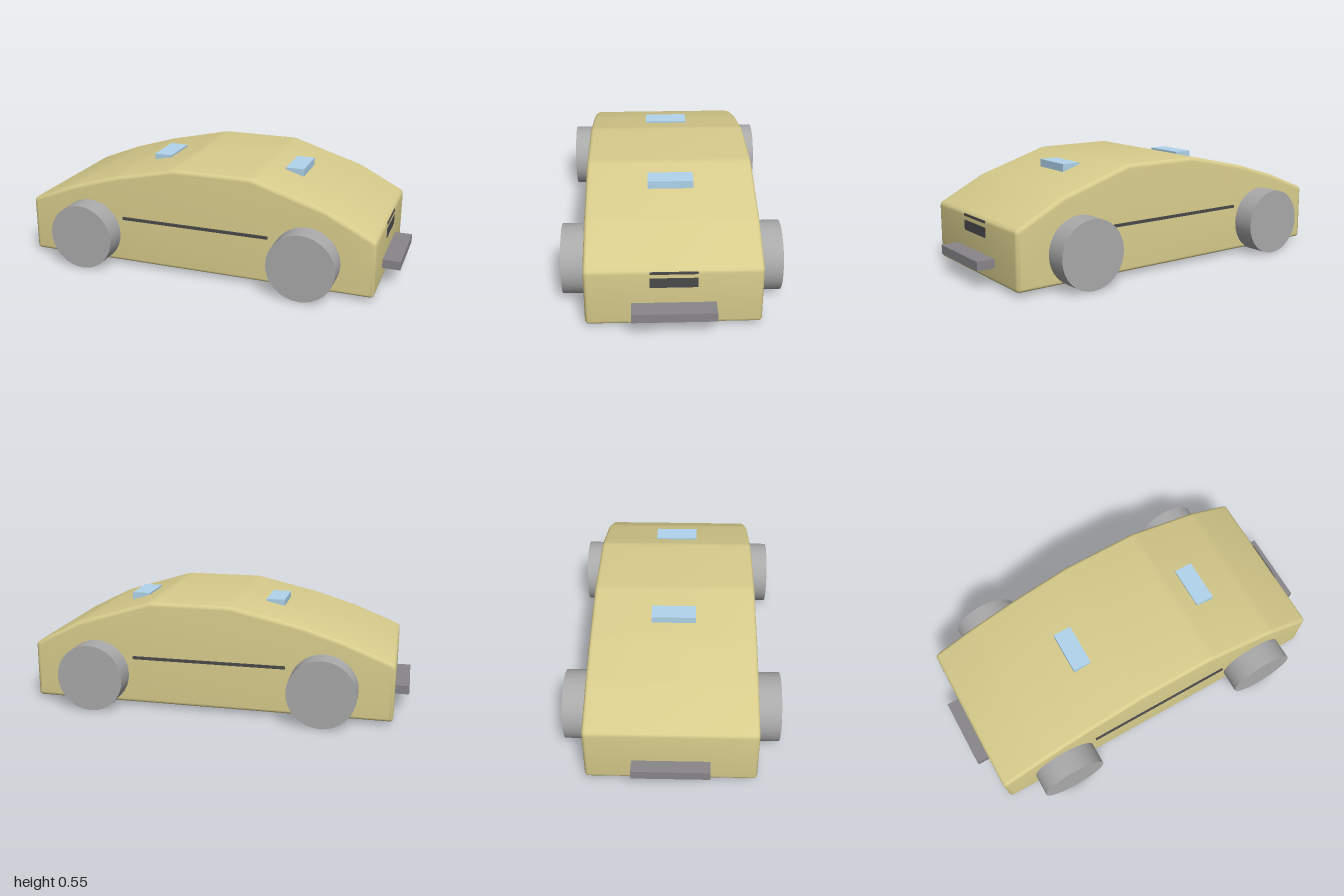
import * as THREE from 'three';
import { toCreasedNormals } from 'three/addons/utils/BufferGeometryUtils.js';

const paint = (color) => new THREE.MeshStandardMaterial({ color });
const cream = paint(0xd8cc8c);
const rubber = paint(0xaaaaaa);
const glass = paint(0xb0d4ec);
const steel = paint(0x88868a);
const dark = paint(0x4a4a4a);

// Closed shape through the points, with each corner rounded by radius r
function roundedShape(points, r) {
  const pts = points.map(([x, y]) => new THREE.Vector2(x, y));
  const toward = (a, b) => a.clone().add(b.clone().sub(a).setLength(r));
  const shape = new THREE.Shape();
  pts.forEach((p, i) => {
    const a = toward(p, pts[(i + pts.length - 1) % pts.length]);
    const b = toward(p, pts[(i + 1) % pts.length]);
    if (i === 0) shape.moveTo(a.x, a.y);
    else shape.lineTo(a.x, a.y);
    shape.quadraticCurveTo(p.x, p.y, b.x, b.y);
  });
  shape.closePath();
  return shape;
}

export function createModel() {
  const car = new THREE.Group();
  car.name = 'car';

  const add = (name, geometry, material, x, y, z) => {
    const mesh = new THREE.Mesh(geometry, material);
    mesh.name = name;
    mesh.position.set(x, y, z);
    car.add(mesh);
    return mesh;
  };

  // Body: side profile extruded across the width with softened edges
  const bevel = 0.02;
  const profile = roundedShape([
    [-0.93, 0.018], [0.91, 0.018], [0.91, 0.306], [0.67, 0.43], [0.29, 0.549],
    [-0.12, 0.549], [-0.45, 0.475], [-0.69, 0.402], [-0.93, 0.306],
  ], 0.018);
  const body = new THREE.ExtrudeGeometry(profile, {
    depth: 0.82 - 2 * bevel, bevelEnabled: true, bevelThickness: bevel,
    bevelSize: bevel, bevelOffset: -bevel, bevelSegments: 4, curveSegments: 4,
  });
  body.translate(0, 0, -0.41 + bevel);
  add('body', toCreasedNormals(body, 0.6), cream, 0, 0, 0);

  // Wheels and side trim, mirrored across the car
  const wheel = new THREE.CylinderGeometry(0.17, 0.17, 0.29, 32).rotateX(Math.PI / 2);
  for (const [side, s] of [['Front', 1], ['Back', -1]]) {
    add('wheelRight' + side, wheel, rubber, -0.59, 0.17, s * 0.38);
    add('wheelLeft' + side, wheel, rubber, 0.575, 0.17, s * 0.38);
    add('sideTrim' + side, new THREE.BoxGeometry(0.78, 0.014, 0.03), dark, -0.01, 0.26, s * 0.404);
  }

  // Bumpers at both ends
  add('bumperRight', new THREE.BoxGeometry(0.1, 0.045, 0.37), steel, -0.95, 0.113, 0);
  add('bumperLeft', new THREE.BoxGeometry(0.1, 0.045, 0.39), steel, 0.95, 0.113, 0);

  // Windows set into the sloping roof
  for (const [name, x] of [['windowRight', -0.3], ['windowLeft', 0.427]]) {
    add(name, new THREE.BoxGeometry(0.096, 0.1, 0.22), glass, x, 0.48, 0);
  }

  // Grille: lower panel and thin upper strip, nearly flush with the end
  add('grillePanel', new THREE.BoxGeometry(0.03, 0.05, 0.22), dark, 0.897, 0.243, 0);
  add('grilleStrip', new THREE.BoxGeometry(0.03, 0.012, 0.22), dark, 0.897, 0.294, 0);

  return car;
}
